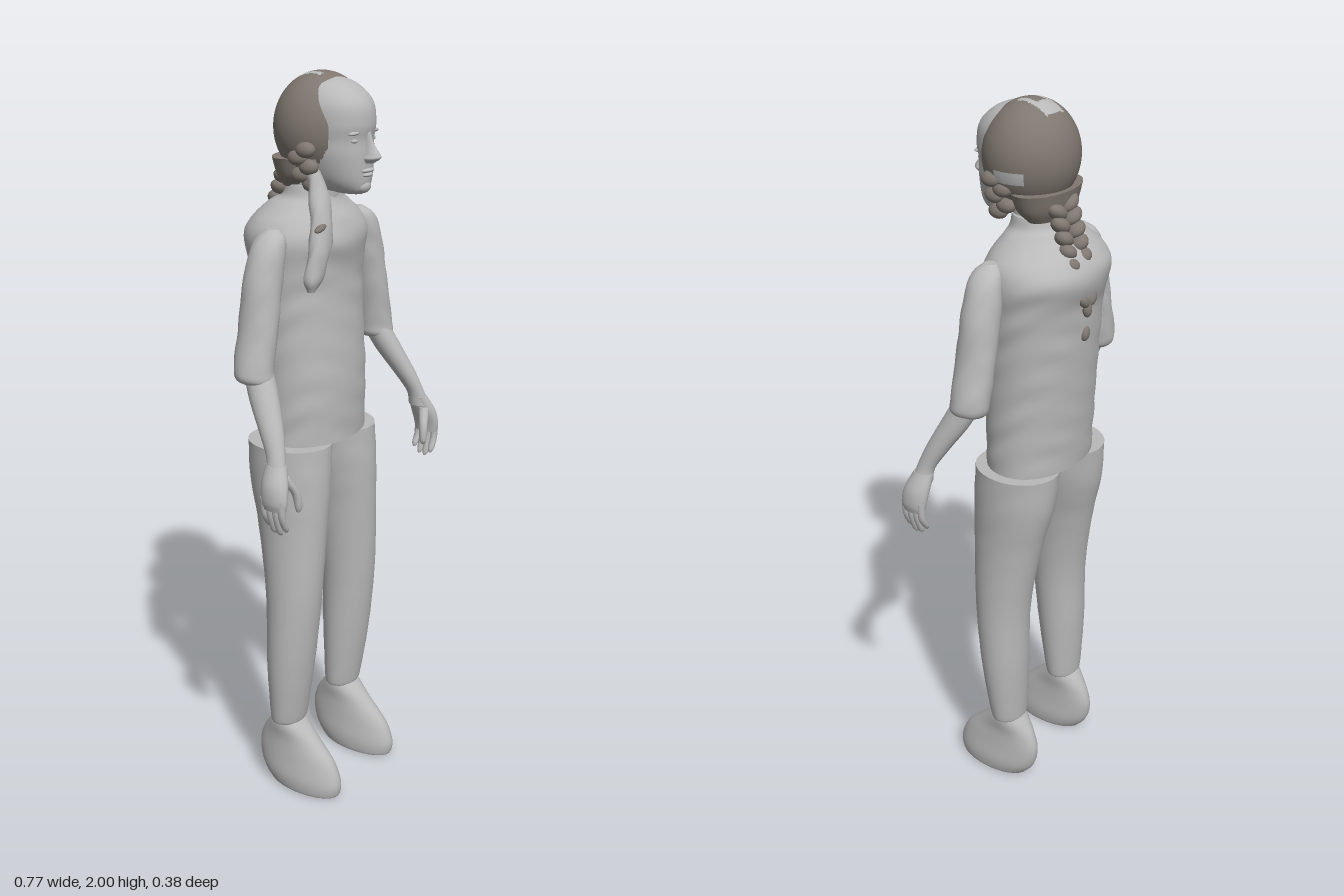
import * as THREE from 'three';

const grey = new THREE.MeshStandardMaterial({ color: 0xb9b9b9, side: THREE.DoubleSide });
grey.name = 'light grey';
const brown = new THREE.MeshStandardMaterial({ color: 0x7f7770, side: THREE.DoubleSide });
brown.name = 'hair brown';

// Smooth skin over horizontal rings [y, centre x, half width, front z, back z], listed bottom to top
function loft(rings, { steps = 6, seg = 32, power = 2, wrinkle = 0 } = {}) {
  const mid = new THREE.CatmullRomCurve3(rings.map(r => new THREE.Vector3(r[1], r[0], (r[3] + r[4]) / 2)), false, 'catmullrom', 0.5);
  const size = new THREE.CatmullRomCurve3(rings.map(r => new THREE.Vector3(r[2], (r[3] - r[4]) / 2, 0)), false, 'catmullrom', 0.5);
  const rows = (rings.length - 1) * steps, pos = [], idx = [];
  const round = v => Math.sign(v) * Math.abs(v) ** (2 / power);
  for (let i = 0; i <= rows; i++) {
    const c = mid.getPoint(i / rows), s = size.getPoint(i / rows);
    for (let j = 0; j < seg; j++) {
      const a = j / seg * Math.PI * 2;
      const k = 1 + wrinkle * Math.sin(c.y * 70 + 3 * Math.sin(a * 2)) * (0.6 + 0.4 * Math.sin(a * 5 + c.y * 23));
      pos.push(c.x + s.x * k * round(Math.cos(a)), c.y, c.z + s.y * k * round(Math.sin(a)));
    }
  }
  for (let i = 0; i < rows; i++) for (let j = 0; j < seg; j++) {
    const a = i * seg + j, b = i * seg + (j + 1) % seg;
    idx.push(a, a + seg, b, a + seg, b + seg, b);
  }
  // End caps with their own corners, so the rims stay sharp
  for (const row of [0, rows]) {
    const c = mid.getPoint(row / rows), start = pos.length / 3;
    pos.push(c.x, c.y, c.z);
    for (let j = 0; j < seg; j++) pos.push(...pos.slice((row * seg + j) * 3, (row * seg + j) * 3 + 3));
    for (let j = 0; j < seg; j++) {
      const a = start + 1 + j, b = start + 1 + (j + 1) % seg;
      row ? idx.push(start, b, a) : idx.push(start, a, b);
    }
  }
  const g = new THREE.BufferGeometry();
  g.setAttribute('position', new THREE.Float32BufferAttribute(pos, 3));
  g.setIndex(idx);
  g.computeVertexNormals();
  return g;
}

function add(parent, name, geometry, material = grey) {
  const m = new THREE.Mesh(geometry, material);
  m.name = name;
  parent.add(m);
  return m;
}

function blob(parent, name, [x, y, z], [sx, sy, sz], material = grey, tilt = 0) {
  const m = add(parent, name, new THREE.SphereGeometry(1, 16, 12), material);
  m.position.set(x, y, z);
  m.scale.set(sx, sy, sz);
  m.rotation.z = tilt;
  return m;
}

// Hair cap: open over the face, with bare patches on crown, brow and one side
function hairCap() {
  const g = new THREE.SphereGeometry(1, 72, 54);
  g.scale(0.128, 0.137, 0.12);
  g.translate(0.015, 1.863, 0.008);
  const p = g.attributes.position, src = g.index.array, hair = [], bare = [];
  for (let i = 0; i < src.length; i += 3) {
    const t = [src[i], src[i + 1], src[i + 2]];
    const [x, y, z] = ['getX', 'getY', 'getZ'].map(f => t.reduce((s, v) => s + p[f](v), 0) / 3);
    const side = Math.abs(x - 0.015);
    const face = z > 0.03 && y < 1.955 - side * side * 6 && side < 0.088 + (z < 0.06 ? 0.01 : 0);
    if (face || y < 1.745) continue;
    const crown = y > 1.9 && Math.abs(x - 0.012) < 0.034 && z > -0.062 && z < 0.03
      && !(z > -0.02 && Math.abs(x - 0.012) < 0.018);
    const brow = z > 0.06 && y > 1.93 && x > -0.05 && x < 0.025;
    const temple = x > 0.1 && y > 1.815 && y < 1.848 && z > -0.05 && z < 0.03;
    (crown || brow || temple ? bare : hair).push(...t);
  }
  g.setIndex([...hair, ...bare]);
  g.addGroup(0, hair.length, 0);
  g.addGroup(hair.length, bare.length, 1);
  return g;
}

function buildHead() {
  const head = new THREE.Group();
  head.name = 'head';
  add(head, 'neck', loft([[1.6, 0.012, 0.068, 0.05, -0.075], [1.7, 0.012, 0.062, 0.055, -0.065], [1.78, 0.012, 0.062, 0.06, -0.06]]));
  add(head, 'face', loft([
    [1.704, 0.012, 0.022, 0.135, 0.06], [1.715, 0.012, 0.046, 0.148, 0.01], [1.745, 0.012, 0.07, 0.154, -0.04],
    [1.8, 0.012, 0.089, 0.155, -0.075], [1.84, 0.012, 0.094, 0.153, -0.09], [1.88, 0.012, 0.097, 0.158, -0.09],
    [1.93, 0.012, 0.093, 0.148, -0.085], [1.97, 0.012, 0.066, 0.105, -0.05], [1.99, 0.012, 0.02, 0.05, 0]], { power: 2.15 }));
  add(head, 'nose', loft([[1.783, 0.012, 0.012, 0.168, 0.13], [1.795, 0.012, 0.019, 0.187, 0.13], [1.805, 0.012, 0.015, 0.188, 0.13],
    [1.83, 0.012, 0.009, 0.17, 0.13], [1.86, 0.012, 0.008, 0.158, 0.13]], { seg: 16 }));
  blob(head, 'upperLip', [0.012, 1.765, 0.151], [0.026, 0.006, 0.012]);
  blob(head, 'lowerLip', [0.012, 1.754, 0.15], [0.021, 0.006, 0.012]);
  blob(head, 'chin', [0.012, 1.724, 0.138], [0.025, 0.018, 0.018]);
  for (const s of [-1, 1]) {
    blob(head, 'eye', [0.012 + s * 0.036, 1.84, 0.136], [0.016, 0.007, 0.01]);
    blob(head, 'brow', [0.012 + s * 0.038, 1.86, 0.138], [0.024, 0.006, 0.012], grey, -s * 0.1);
    // Loose curls beside the cheeks
    for (let i = 0; i < 5; i++)
      blob(head, 'curl', [0.012 + s * (0.118 - i * 0.007), 1.82 - i * 0.022, 0.045 - (i % 2) * 0.03], [0.018, 0.02, 0.028], brown, s * 0.5);
  }
  add(head, 'hairCap', hairCap(), [brown, grey]);
  add(head, 'hairNape', loft([[1.715, 0.015, 0.075, -0.01, -0.085], [1.745, 0.015, 0.1, 0.02, -0.1], [1.79, 0.015, 0.118, 0.03, -0.108]]), brown);
  return head;
}

// Short plait down the nape
function buildPlait() {
  const plait = new THREE.Group();
  plait.name = 'backPlait';
  for (let i = 0; i < 5; i++) for (const s of [-1, 1])
    blob(plait, 'strand', [0.025 + s * 0.024 + i * 0.004, 1.755 - i * 0.03 - (s > 0 ? 0.012 : 0), -0.095 - i * 0.014], [0.031 - i * 0.002, 0.019, 0.024], brown, s * 0.55);
  for (const [x, y, t] of [[0.01, 1.525, 0.7], [0.042, 1.525, -0.7], [0.028, 1.5, 0], [0.02, 1.43, 0.3]])
    blob(plait, 'plaitEnd', [x, y, y < 1.45 ? -0.165 : -0.176], [0.013, 0.02, 0.012], brown, t);
  return plait;
}

function buildArm(s) {
  const arm = new THREE.Group();
  arm.name = s > 0 ? 'leftArm' : 'rightArm';
  const limb = rings => rings.map(([y, x, ...rest]) => [y, s * x + 0.003, ...rest]);
  add(arm, 'sleeve', loft(limb([
    [1.255, 0.272, 0.034, 0.05, -0.035], [1.268, 0.275, 0.048, 0.058, -0.045], [1.3, 0.272, 0.05, 0.055, -0.05],
    [1.4, 0.25, 0.047, 0.055, -0.052], [1.5, 0.23, 0.052, 0.05, -0.05], [1.57, 0.212, 0.048, 0.048, -0.045],
    [1.61, 0.198, 0.036, 0.04, -0.035], [1.632, 0.186, 0.016, 0.018, -0.015]]), { wrinkle: 0.025 }));
  add(arm, 'forearm', loft(limb([
    [1.05, 0.338, 0.026, 0.148, 0.09], [1.09, 0.328, 0.022, 0.138, 0.086], [1.15, 0.309, 0.029, 0.117, 0.05],
    [1.22, 0.286, 0.035, 0.085, 0.004], [1.29, 0.266, 0.036, 0.05, -0.03]]), { seg: 24 }));
  add(arm, 'palm', loft(limb([
    [0.965, 0.362, 0.016, 0.167, 0.097], [0.99, 0.362, 0.021, 0.17, 0.092], [1.03, 0.352, 0.026, 0.164, 0.088],
    [1.075, 0.333, 0.023, 0.145, 0.088]]), { seg: 24 }));
  for (let i = 0; i < 4; i++) {
    const z = 0.157 - i * 0.018, tip = [0.905, 0.893, 0.896, 0.912][i];
    add(arm, 'finger', loft(limb([[tip, 0.346, 0.004, z + 0.004, z - 0.004], [tip + 0.012, 0.351, 0.009, z + 0.009, z - 0.009],
      [0.95, 0.364, 0.01, z + 0.01, z - 0.01], [0.995, 0.366, 0.011, z + 0.01, z - 0.01]]), { seg: 12, steps: 4 }));
  }
  add(arm, 'thumb', loft(limb([[0.945, 0.3, 0.004, 0.164, 0.155], [0.96, 0.299, 0.01, 0.17, 0.15],
    [1.0, 0.306, 0.012, 0.168, 0.144], [1.045, 0.333, 0.016, 0.155, 0.125]]), { seg: 12, steps: 4 }));
  return arm;
}

function buildLeg(s) {
  const leg = new THREE.Group();
  leg.name = s > 0 ? 'leftLeg' : 'rightLeg';
  // The hips sit a little to the figure's left of the feet
  const limb = rings => rings.map(([y, x, ...rest]) => [y, s * x + Math.min(0.014, y * 0.012), ...rest]);
  add(leg, 'trouserLeg', loft(limb([
    [0.205, 0.133, 0.055, 0.043, -0.043], [0.23, 0.134, 0.063, 0.05, -0.046], [0.4, 0.136, 0.075, 0.075, -0.055],
    [0.6, 0.132, 0.077, 0.095, -0.063], [0.8, 0.12, 0.083, 0.103, -0.098], [0.93, 0.11, 0.095, 0.105, -0.13],
    [1.04, 0.102, 0.102, 0.1, -0.14]]), { wrinkle: 0.006 }));
  add(leg, 'shoe', loft(limb([
    [0, 0.135, 0.046, 0.165, -0.045], [0.008, 0.135, 0.054, 0.176, -0.058], [0.045, 0.135, 0.057, 0.18, -0.085],
    [0.1, 0.134, 0.05, 0.158, -0.097], [0.15, 0.133, 0.046, 0.11, -0.085], [0.19, 0.133, 0.049, 0.066, -0.06],
    [0.215, 0.133, 0.047, 0.038, -0.04]])));
  return leg;
}

export function createModel() {
  const figure = new THREE.Group();
  figure.name = 'figure';
  add(figure, 'shirt', loft([
    [1.04, 0.018, 0.168, 0.1, -0.14], [1.2, 0.018, 0.168, 0.103, -0.15], [1.4, 0.02, 0.17, 0.09, -0.163],
    [1.5, 0.02, 0.177, 0.088, -0.17], [1.58, 0.02, 0.184, 0.1, -0.19], [1.63, 0.02, 0.165, 0.085, -0.172],
    [1.67, 0.015, 0.115, 0.062, -0.13], [1.69, 0.012, 0.085, 0.054, -0.092], [1.72, 0.012, 0.074, 0.05, -0.08]],
  { steps: 10, seg: 64, power: 2.1, wrinkle: 0.012 }));
  // Loose tail of hair over the right shoulder
  add(figure, 'shoulderTail', loft([
    [1.475, -0.145, 0.01, 0.1, 0.08], [1.51, -0.135, 0.03, 0.112, 0.07], [1.58, -0.112, 0.036, 0.118, 0.07],
    [1.66, -0.093, 0.034, 0.108, 0.06], [1.73, -0.08, 0.026, 0.085, 0.04], [1.78, -0.085, 0.015, 0.06, 0.03]],
  { seg: 20, wrinkle: 0.1 }));
  blob(figure, 'tailTie', [-0.125, 1.635, 0.105], [0.022, 0.008, 0.01], brown, 0.3);
  figure.add(buildHead(), buildPlait());
  for (const s of [-1, 1]) figure.add(buildArm(s), buildLeg(s));
  return figure;
}
